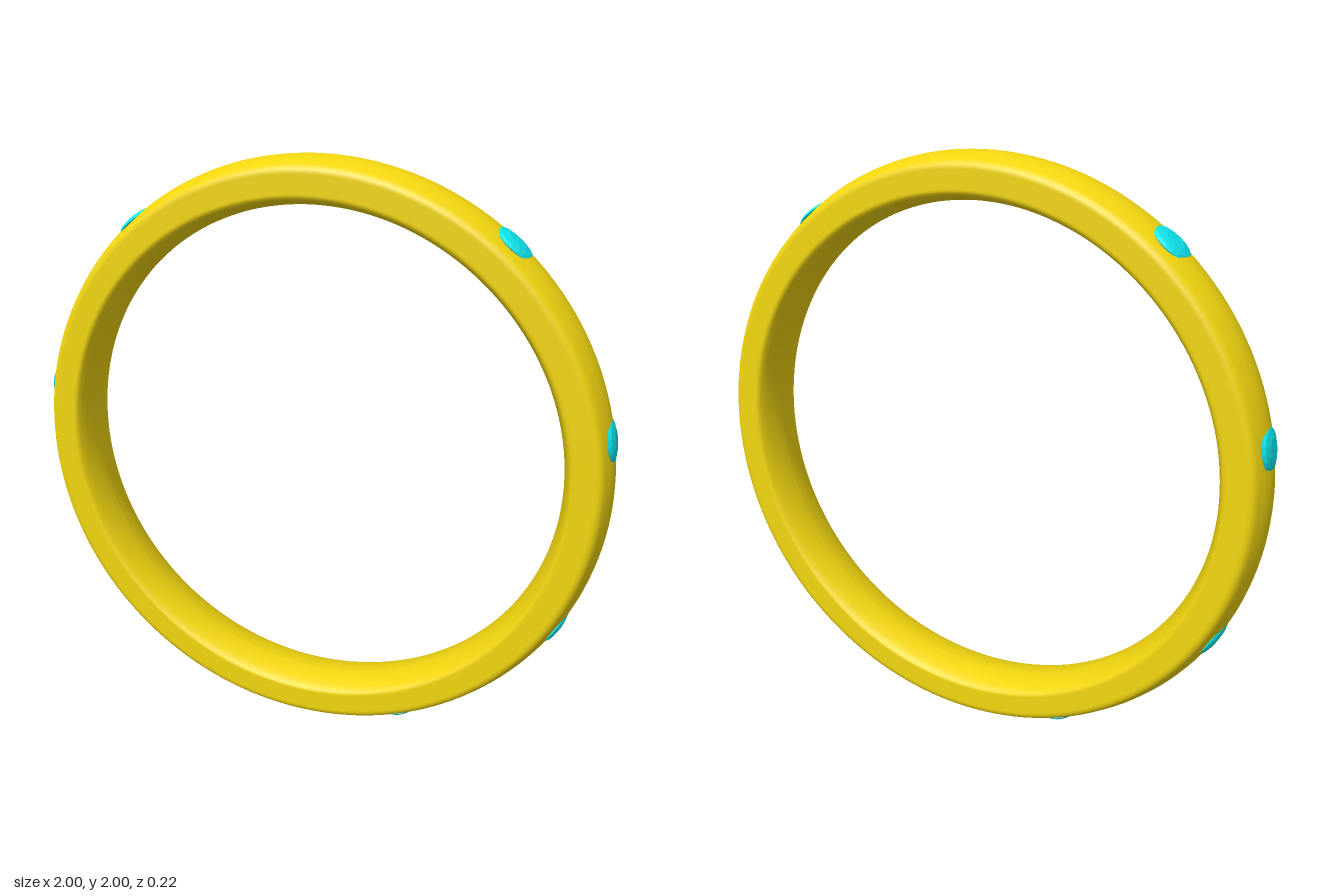
import * as THREE from 'three';
import { ConvexGeometry } from 'three/addons/geometries/ConvexGeometry.js';

// Band: domed outside, flat sides, softly rounded inside
function bandGeometry() {
  // half of the cross-section as [radius, offset from centre], outside to inside
  const half = [
    [1, 0], [0.9985, 0.02], [0.995, 0.04], [0.989, 0.06], [0.981, 0.08],
    [0.976, 0.092], [0.97, 0.101], [0.962, 0.107], [0.953, 0.109], [0.948, 0.109],
    [0.888, 0.109], [0.882, 0.109], [0.875, 0.107], [0.868, 0.1], [0.861, 0.085],
    [0.854, 0.065], [0.848, 0.04], [0.845, 0.02], [0.844, 0],
  ];
  const upper = half.map(([r, z]) => new THREE.Vector2(r, z));
  const lower = half.map(([r, z]) => new THREE.Vector2(r, -z)).reverse();
  // closed loop that starts and ends in the middle of the inside
  const profile = [...lower, ...upper.slice(1)];
  return new THREE.LatheGeometry(profile, 160).rotateX(Math.PI / 2);
}

// Cut stone: flat table, crown facets, round girdle and pointed pavilion
function gemGeometry() {
  const points = [];
  const ring = (radius, y, count, turn = 0) => {
    for (let i = 0; i < count; i++) {
      const a = ((i + turn) / count) * Math.PI * 2;
      points.push(new THREE.Vector3(radius * Math.cos(a), y, radius * Math.sin(a)));
    }
  };
  ring(0.036, 0.0165, 8, 0.5);
  ring(0.064, 0.009, 16);
  ring(0.074, 0, 32);
  points.push(new THREE.Vector3(0, -0.06, 0));
  return new ConvexGeometry(points);
}

export function createModel() {
  const model = new THREE.Group();
  model.name = 'ring';

  const gold = new THREE.MeshStandardMaterial({ color: 0xf2d60f });
  const cyan = new THREE.MeshStandardMaterial({ color: 0x0fe8f0, flatShading: true });

  const band = new THREE.Mesh(bandGeometry(), gold);
  band.name = 'band';
  band.position.y = 1;
  model.add(band);

  // Eight stones at 40 degree steps; the ninth place, at the top, stays empty
  const gems = new THREE.Group();
  gems.name = 'gems';
  gems.position.y = 1;
  const stone = gemGeometry();
  for (let i = 1; i <= 8; i++) {
    const turn = THREE.MathUtils.degToRad(i * 40);
    const gem = new THREE.Mesh(stone, cyan);
    gem.name = `gem${i}`;
    gem.position.set(-Math.sin(turn) * 0.989, Math.cos(turn) * 0.989, 0);
    gem.rotation.z = turn;
    gems.add(gem);
  }
  model.add(gems);

  return model;
}
